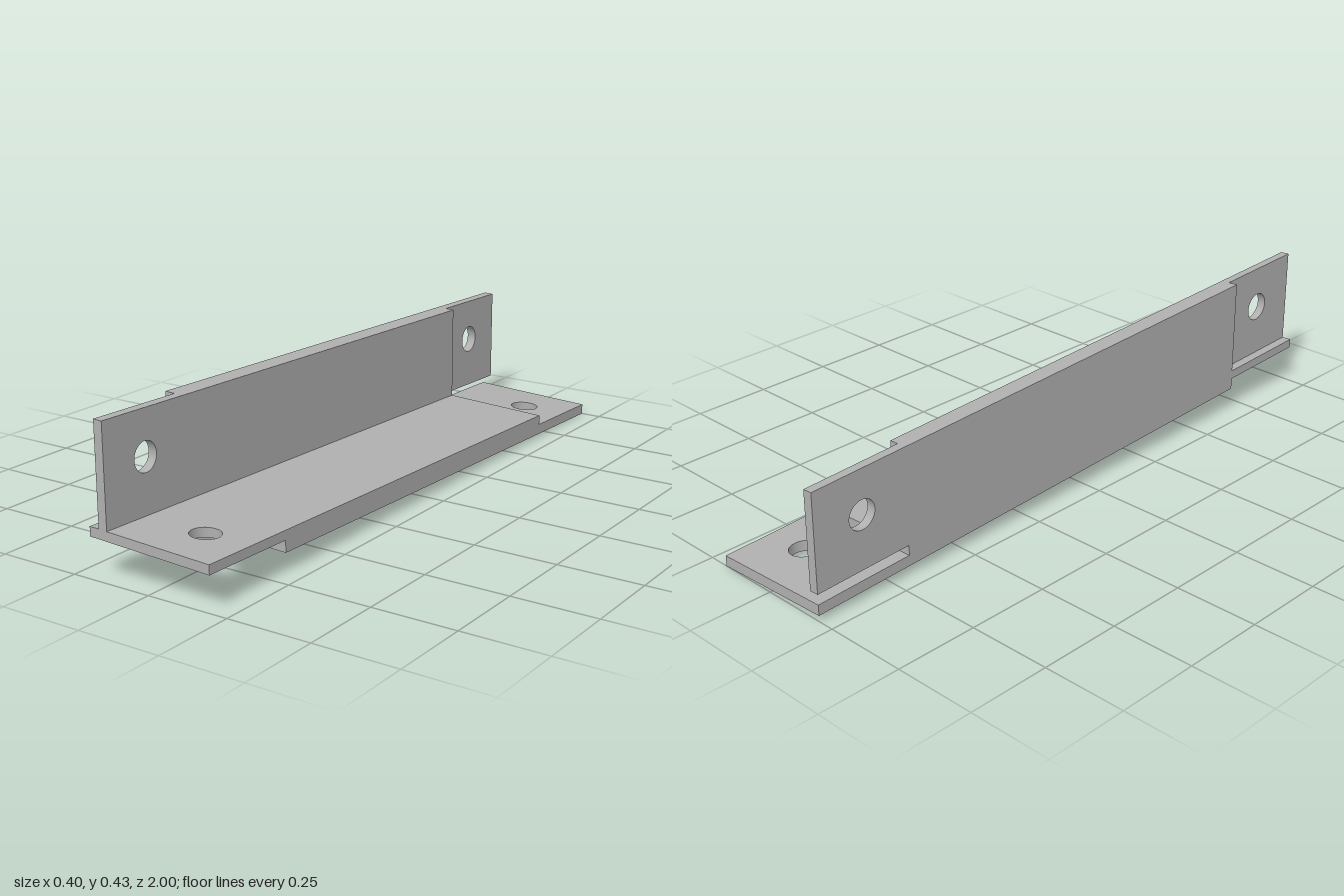
import * as THREE from 'three';

// Slight lean of the whole bar: x drifts with z, y tilts with x and z
const lean = new THREE.Matrix4().set(
  1, 0, 0.0065, 0,
  -0.044, 1, 0.033, 0,
  0, 0, 1, 0,
  0, 0, 0, 1
);

const LEFT = -0.194, RIGHT = 0.193, INNER = -0.1365, MID_X = -0.165;
const BOTTOM = 0.042, MID_Y = 0.074, FLOOR = 0.104, TOP = 0.395;
const STEP = 0.69, END = 1, HOLE_Z = 0.843, HOLE_R = 0.043;

// Rectangle with one round bolt hole
function plateShape(a0, b0, a1, b1, holeA, holeB) {
  const shape = new THREE.Shape();
  shape.moveTo(a0, b0);
  shape.lineTo(a1, b0);
  shape.lineTo(a1, b1);
  shape.lineTo(a0, b1);
  shape.closePath();
  const hole = new THREE.Path();
  hole.absarc(holeA, holeB, HOLE_R, 0, Math.PI * 2, true);
  shape.holes.push(hole);
  return shape;
}

function extrude(shape, depth) {
  return new THREE.ExtrudeGeometry(shape, { depth, bevelEnabled: false, curveSegments: 32 });
}

export function createModel() {
  const group = new THREE.Group();
  group.name = 'angleBar';
  const steel = new THREE.MeshStandardMaterial({ color: 0xb0b0b0 });
  steel.name = 'steel grey';

  const add = (name, geometry) => {
    geometry.applyMatrix4(lean);
    const mesh = new THREE.Mesh(geometry, steel);
    mesh.name = name;
    group.add(mesh);
  };

  // Full-thickness L section between the lap joints
  const section = new THREE.Shape([
    [LEFT, BOTTOM], [RIGHT, BOTTOM], [RIGHT, FLOOR],
    [INNER, FLOOR], [INNER, TOP], [LEFT, TOP],
  ].map(([x, y]) => new THREE.Vector2(x, y)));
  add('angleBody', extrude(section, STEP * 2).translate(0, 0, -STEP));

  // Half-thickness lap tongues: upper and inner at the front, lower and outer at the back
  const ends = [
    { name: 'front', z0: STEP, z1: END, holeZ: HOLE_Z, y0: 0.0765, y1: FLOOR, x0: -0.1635, x1: INNER },
    { name: 'back', z0: -END, z1: -STEP, holeZ: -HOLE_Z, y0: BOTTOM, y1: MID_Y, x0: LEFT, x1: MID_X },
  ];
  for (const e of ends) {
    const floor = extrude(plateShape(LEFT, e.z0, RIGHT, e.z1, 0.055, e.holeZ), e.y1 - e.y0);
    add(e.name + 'FloorTongue', floor.rotateX(Math.PI / 2).translate(0, e.y1, 0));

    const wall = extrude(plateShape(e.z0, FLOOR, e.z1, TOP, e.holeZ, 0.264), e.x1 - e.x0);
    add(e.name + 'WallTongue', wall.rotateY(-Math.PI / 2).translate(e.x1, 0, 0));
  }
  return group;
}
